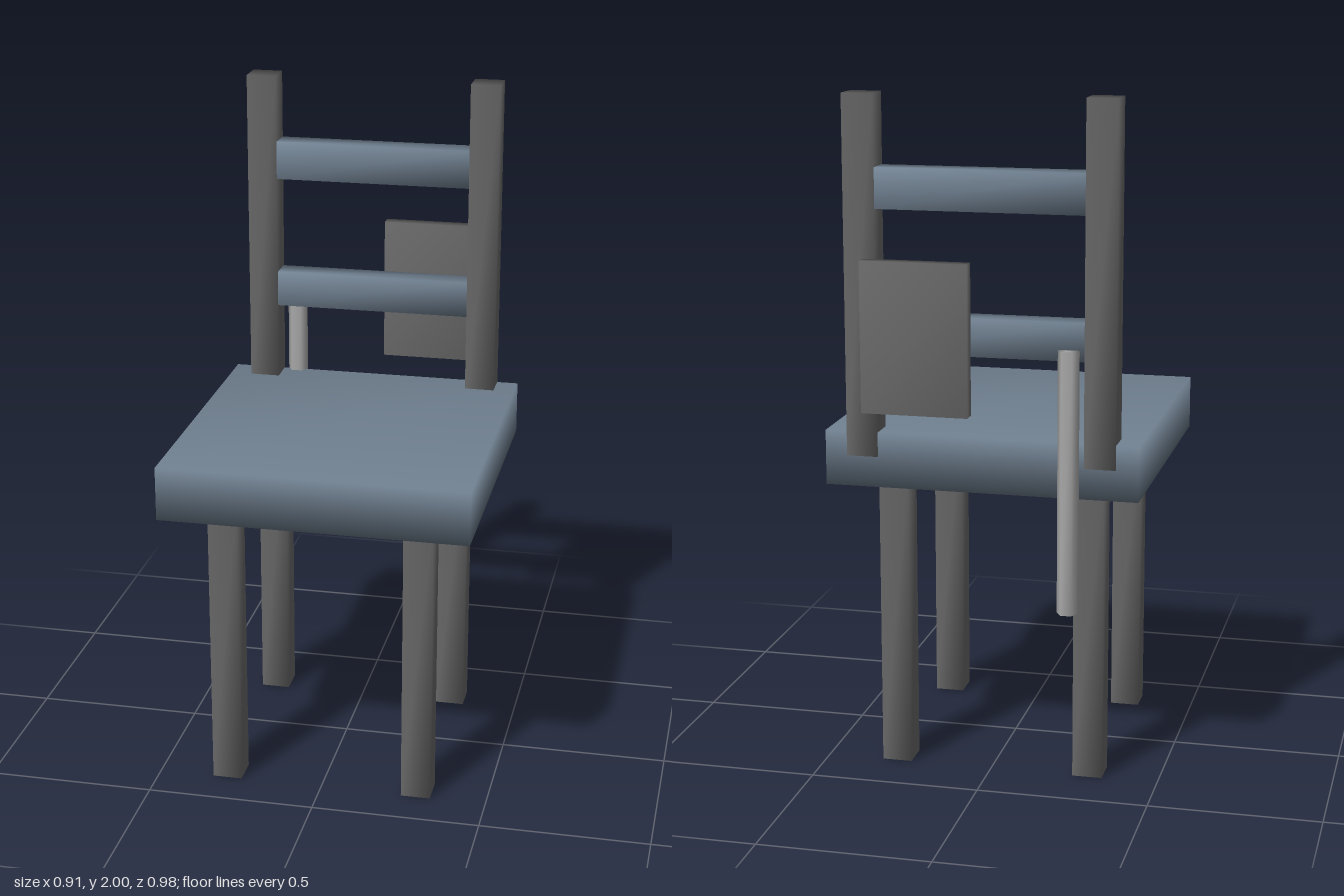
import * as THREE from 'three';
import { mergeVertices } from 'three/addons/utils/BufferGeometryUtils.js';

const blue = new THREE.MeshStandardMaterial({ color: 0x708090 });
const dark = new THREE.MeshStandardMaterial({ color: 0x696969 });
const pale = new THREE.MeshStandardMaterial({ color: 0xa9a9a9 });

// Weld corners so normals run smoothly over the edges
function soften(geometry) {
  geometry.deleteAttribute('normal');
  geometry.deleteAttribute('uv');
  const welded = mergeVertices(geometry);
  welded.computeVertexNormals();
  return welded;
}

// Box given by its [min, max] extents on each axis
function block(name, material, [x0, x1], [y0, y1], [z0, z1]) {
  const mesh = new THREE.Mesh(soften(new THREE.BoxGeometry(x1 - x0, y1 - y0, z1 - z0)), material);
  mesh.position.set((x0 + x1) / 2, (y0 + y1) / 2, (z0 + z1) / 2);
  mesh.name = name;
  return mesh;
}

export function createModel() {
  const chair = new THREE.Group();
  chair.name = 'chair';

  chair.add(block('seat', blue, [-0.455, 0.455], [0.88, 1.04], [-0.45, 0.49]));

  // Four legs
  for (const [side, x] of [['Right', -0.335], ['Left', 0.245]]) {
    chair.add(block('front' + side + 'Leg', dark, [x, x + 0.088], [0, 0.89], [0.288, 0.376]));
    chair.add(block('back' + side + 'Leg', dark, [x, x + 0.088], [0, 0.89], [-0.33, -0.242]));
  }

  // Back posts, let slightly into the rear edge of the seat
  for (const [side, x] of [['Right', -0.39], ['Left', 0.3]]) {
    chair.add(block('back' + side + 'Post', dark, [x, x + 0.09], [0.97, 2], [-0.456, -0.368]));
  }

  // Cross rails between the posts
  chair.add(block('upperRail', blue, [-0.3, 0.3], [1.68, 1.796], [-0.45, -0.372]));
  chair.add(block('lowerRail', blue, [-0.3, 0.3], [1.273, 1.382], [-0.45, -0.372]));

  // Flat panel behind the left post
  chair.add(block('backPanel', dark, [0.025, 0.335], [1.105, 1.54], [-0.493, -0.452]));

  // Six-sided rod hanging behind the seat
  const rod = new THREE.Mesh(
    soften(new THREE.CylinderGeometry(0.031, 0.031, 0.76, 6).rotateY(Math.PI / 6)), pale);
  rod.geometry.rotateY(0);
  // Corners point sideways, flats face front and back
  rod.rotation.y = 0;
  rod.name = 'rod';
  rod.position.set(-0.256, 0.925, -0.458);
  chair.add(rod);

  return chair;
}
